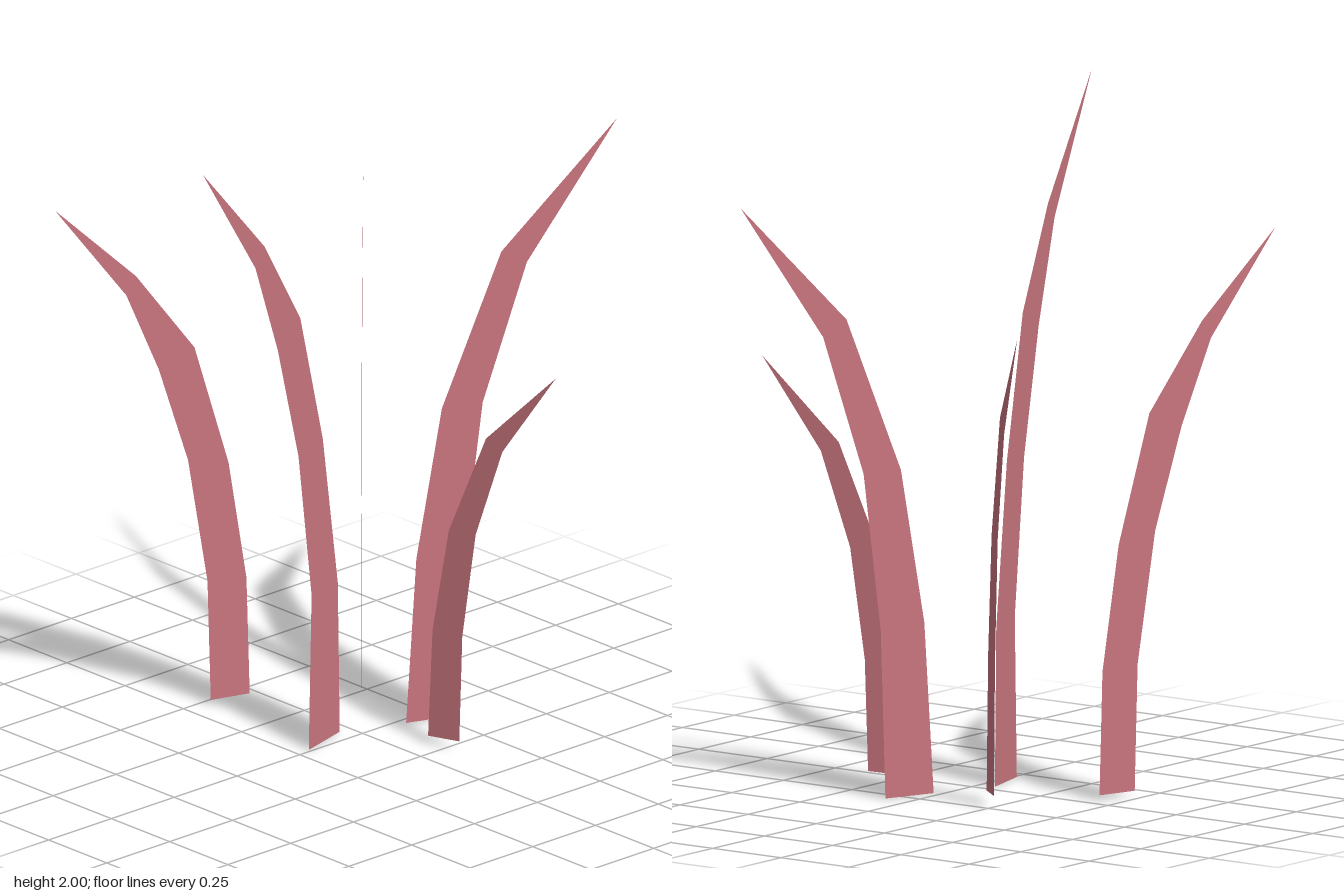
import * as THREE from 'three';

// Each blade is a flat sheet in an upright plane. Its outline is given as
// [reach, height] pairs up one edge, over the tip and down the other;
// place(reach) gives the [x, z] of the plane at that reach.
const blades = [
  {
    name: 'tallLeftBlade',
    place: (x) => [x, -0.066 - 0.274 * x],
    outline: [[-0.04, 0], [-0.05, 0.47], [-0.13, 0.95], [-0.25, 1.37], [-0.44, 1.66], [-0.77, 2],
      [-0.49, 1.61], [-0.37, 1.31], [-0.26, 0.94], [-0.19, 0.48], [-0.205, 0]],
  },
  {
    name: 'tallRightBlade',
    place: (x) => [x, -0.032 + 0.382 * x],
    outline: [[0.305, 0], [0.32, 0.5], [0.375, 0.97], [0.505, 1.39], [0.77, 1.8],
      [0.43, 1.435], [0.255, 0.97], [0.18, 0.51], [0.15, 0]],
  },
  {
    name: 'backLeftBlade',
    place: (x) => [x, -0.415 + 0.315 * x],
    outline: [[-0.05, 0.015], [-0.06, 0.38], [-0.115, 0.75], [-0.22, 1.13], [-0.4, 1.385], [-0.65, 1.635],
      [-0.43, 1.33], [-0.33, 1.08], [-0.24, 0.78], [-0.18, 0.39], [-0.17, 0.015]],
  },
  {
    name: 'frontBlade',
    place: (z) => [0.036 + 0.256 * z, z],
    outline: [[0.19, 0.025], [0.205, 0.36], [0.26, 0.685], [0.385, 1], [0.62, 1.24],
      [0.44, 0.97], [0.35, 0.69], [0.305, 0.36], [0.295, 0.03]],
  },
  {
    name: 'backRightBlade',
    place: (z) => [-0.01 - 0.95 * z, z],
    outline: [[-0.17, 0.03], [-0.19, 0.44], [-0.235, 0.805], [-0.345, 1.18], [-0.572, 1.47],
      [-0.4, 1.145], [-0.315, 0.81], [-0.28, 0.44], [-0.265, 0.037]],
  },
];

// Cut the outline from a flat sheet, then swing it into its own plane
function makeBlade({ name, place, outline }, material) {
  const shape = new THREE.Shape(outline.map(([r, y]) => new THREE.Vector2(r, y)));
  const geometry = new THREE.ShapeGeometry(shape);
  const pos = geometry.attributes.position;
  for (let i = 0; i < pos.count; i++) {
    const [x, z] = place(pos.getX(i));
    pos.setXYZ(i, x, pos.getY(i), z);
  }
  geometry.computeVertexNormals();
  const mesh = new THREE.Mesh(geometry, material);
  mesh.name = name;
  return mesh;
}

export function createModel() {
  const group = new THREE.Group();
  group.name = 'grassTuft';
  const material = new THREE.MeshStandardMaterial({ color: 0xc9757e, side: THREE.DoubleSide });
  material.name = 'dusty rose';
  for (const blade of blades) group.add(makeBlade(blade, material));
  return group;
}
